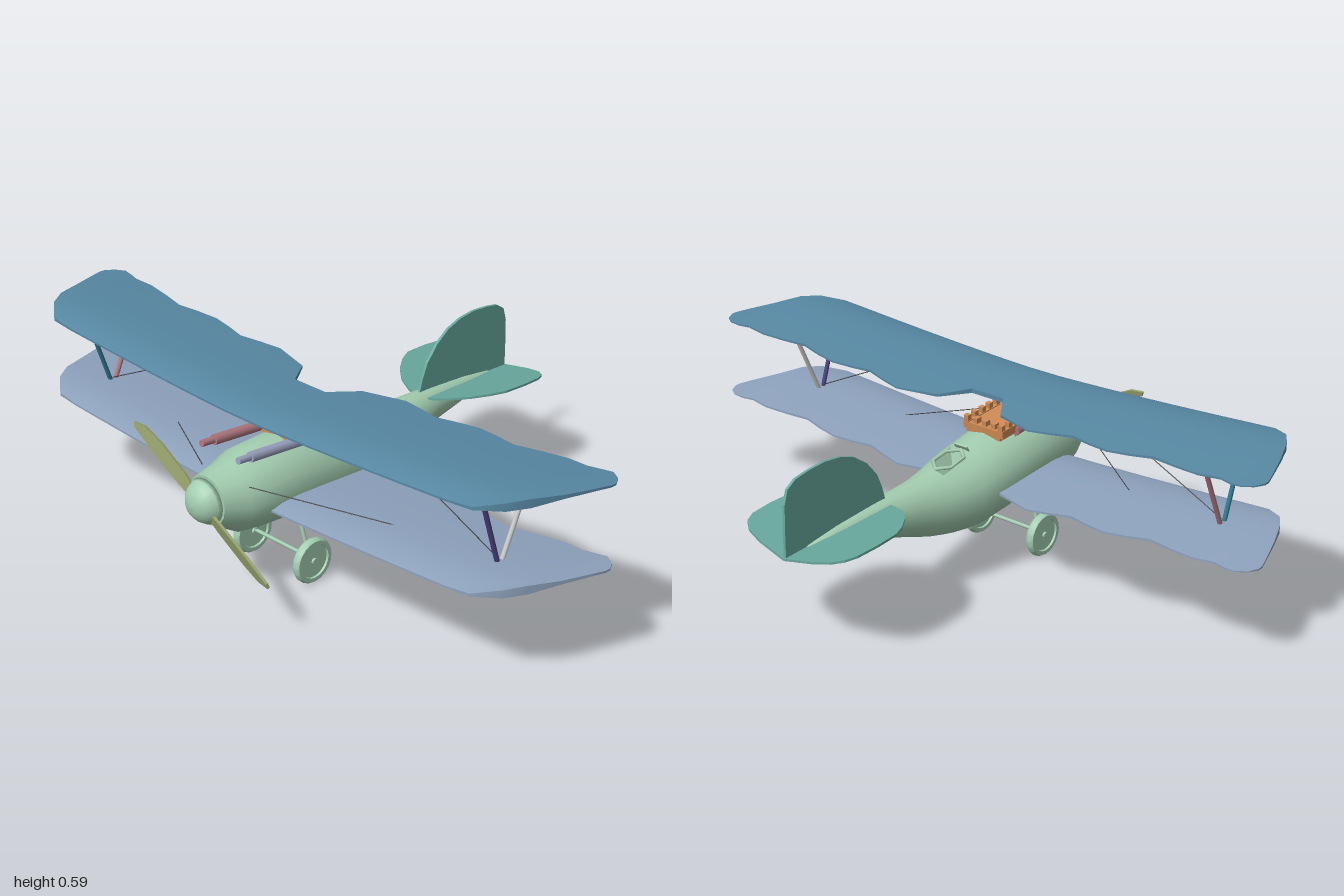
import * as THREE from 'three';
import { toCreasedNormals } from 'three/addons/utils/BufferGeometryUtils.js';

const V = (x, y, z) => new THREE.Vector3(x, y, z);
const paint = (color) => new THREE.MeshStandardMaterial({ color });
const green = paint(0xa3cdb0), teal = paint(0x68a89e), blue = paint(0x5788a3), paleBlue = paint(0x8ea2bd);
const olive = paint(0x95a06c), orange = paint(0xd08a55), dark = paint(0x444444);
const rose = paint(0xb07880), lavender = paint(0x9aa2c0), purple = paint(0x4c4280), petrol = paint(0x2f7890), grey = paint(0xcccccc);

function add(parent, name, geometry, material) {
  const mesh = new THREE.Mesh(geometry, material);
  mesh.name = name;
  parent.add(mesh);
  return mesh;
}

// Skin a row of closed rings and cap both ends
function loft(rings, crease) {
  const n = rings[0].length, pos = [];
  const tri = (...pts) => pts.forEach((p) => pos.push(p.x, p.y, p.z));
  for (let i = 0; i < rings.length - 1; i++) {
    for (let j = 0; j < n; j++) {
      const k = (j + 1) % n, a = rings[i], b = rings[i + 1];
      tri(a[j], a[k], b[j]);
      tri(a[k], b[k], b[j]);
    }
  }
  [rings[0], rings[rings.length - 1]].forEach((ring, end) => {
    const c = ring.reduce((s, p) => s.add(p), V(0, 0, 0)).divideScalar(n);
    for (let j = 0; j < n; j++) {
      const k = (j + 1) % n;
      if (end) tri(c, ring[j], ring[k]); else tri(c, ring[k], ring[j]);
    }
  });
  const g = new THREE.BufferGeometry();
  g.setAttribute('position', new THREE.Float32BufferAttribute(pos, 3));
  return toCreasedNormals(g, crease);
}

function rod(parent, name, a, b, radius, material, sides = 8) {
  const d = b.clone().sub(a);
  const mesh = add(parent, name, new THREE.CylinderGeometry(radius, radius, d.length(), sides), material);
  mesh.position.copy(a).add(b).multiplyScalar(0.5);
  mesh.quaternion.setFromUnitVectors(V(0, 1, 0), d.normalize());
  return mesh;
}

function fuselageGeometry() {
  // z, bottom, top, half width
  const stations = [
    [0.595, 0.25, 0.4, 0.072], [0.52, 0.203, 0.408, 0.1], [0.45, 0.193, 0.428, 0.118], [0.3, 0.18, 0.428, 0.125],
    [0.2, 0.165, 0.418, 0.125], [0.085, 0.15, 0.397, 0.12], [0.05, 0.152, 0.39, 0.114], [0, 0.158, 0.38, 0.104],
    [-0.04, 0.166, 0.37, 0.095], [-0.1, 0.18, 0.362, 0.082], [-0.2, 0.215, 0.358, 0.063], [-0.3, 0.245, 0.355, 0.047],
    [-0.45, 0.27, 0.342, 0.032], [-0.56, 0.288, 0.325, 0.022], [-0.585, 0.298, 0.315, 0.012]];
  const sides = 16;
  const rings = stations.map(([z, lo, hi, w]) => Array.from({ length: sides }, (_, j) => {
    const a = (j / sides) * Math.PI * 2;
    // Cockpit hollow
    if (j === 0 && (z === 0.05 || z === 0)) return V(0, 0.3, z);
    return V(w * Math.sin(a), (lo + hi) / 2 + ((hi - lo) / 2) * Math.cos(a), z);
  }));
  return loft(rings, 0.6);
}

// Scalloped wing: half-span stations of x, trailing z, leading z
function wingGeometry(y0, cutout) {
  const half = [[0.06, cutout ? 0.2 : 0.11, 0.46], [0.12, 0.112, 0.46], [0.18, 0.095, 0.46], [0.25, 0.075, 0.46],
    [0.32, 0.09, 0.46], [0.385, 0.108, 0.46], [0.45, 0.092, 0.46], [0.52, 0.08, 0.46], [0.59, 0.09, 0.46],
    [0.66, 0.107, 0.46], [0.74, 0.09, 0.46], [0.82, 0.078, 0.455], [0.885, 0.085, 0.405], [0.92, 0.075, 0.35],
    [0.955, 0.07, 0.265], [0.985, 0.09, 0.18], [1, 0.118, 0.135]];
  const span = [...half.map(([x, t, l]) => [-x, t, l]).reverse(), ...half];
  // Chord position, upper and lower height
  const foil = [[0.46, 0, -0.006], [0.43, 0.011, -0.011], [0.36, 0.016, -0.01], [0.24, 0.01, -0.007], [0.07, -0.008, -0.013]];
  const height = (z, side) => {
    for (let i = 1; i < foil.length; i++) {
      if (z >= foil[i][0] || i === foil.length - 1) {
        const f = (foil[i - 1][0] - z) / (foil[i - 1][0] - foil[i][0]);
        return THREE.MathUtils.lerp(foil[i - 1][side], foil[i][side], f);
      }
    }
  };
  const chord = [0, 0.25, 0.5, 0.72, 0.9, 1];
  const rings = span.map(([x, t, l]) => {
    const rise = 0.046 * Math.min(1, Math.pow(Math.abs(x) / 0.9, 1.4));
    const thin = Math.abs(x) > 0.95 ? 0.6 : 1;
    const at = (u, side) => {
      const z = t + (l - t) * u;
      return V(x, y0 + rise + height(z, side) * thin, z);
    };
    return [...chord.map((u) => at(u, 1)), ...chord.map((u) => at(1 - u, 2))];
  });
  return loft(rings, 0.7);
}

// Thin plate with a rounded outline
function plate(points, depth) {
  const shape = new THREE.Shape(points.map(([a, b]) => new THREE.Vector2(a, b)));
  return new THREE.ExtrudeGeometry(shape, { depth, bevelEnabled: false }).translate(0, 0, -depth / 2);
}

function wheel(parent, side) {
  const g = new THREE.Group();
  g.name = side > 0 ? 'leftWheel' : 'rightWheel';
  const tyre = [[0.05, -0.007], [0.052, -0.013], [0.064, -0.013], [0.069, -0.005], [0.069, 0.005], [0.064, 0.013], [0.052, 0.013], [0.05, 0.007]];
  const profile = tyre.map(([r, y]) => new THREE.Vector2(r, y));
  add(g, 'tyre', toCreasedNormals(new THREE.LatheGeometry(profile, 20), 0.6), green);
  add(g, 'wheelDisc', new THREE.CylinderGeometry(0.055, 0.055, 0.014, 8), green);
  add(g, 'hub', new THREE.CylinderGeometry(0.01, 0.01, 0.028, 8), green);
  g.rotation.z = Math.PI / 2;
  g.position.set(side * 0.123, 0.07, 0.32);
  parent.add(g);
}

export function createModel() {
  const plane = new THREE.Group();
  plane.name = 'biplane';

  add(plane, 'fuselage', fuselageGeometry(), green);
  const nose = [[0, 0.052], [0.02, 0.05], [0.038, 0.043], [0.053, 0.03], [0.064, 0.013], [0.068, 0], [0, 0]].reverse();
  const spinner = add(plane, 'spinner', new THREE.LatheGeometry(nose.map(([r, y]) => new THREE.Vector2(r, y)), 20), green);
  spinner.rotation.x = Math.PI / 2;
  spinner.position.set(0, 0.325, 0.598);

  // Cockpit rim and windscreen
  const rim = add(plane, 'cockpitRim', new THREE.TorusGeometry(0.04, 0.005, 6, 6).rotateZ(Math.PI / 2).rotateX(Math.PI / 2).scale(1, 1, 1.45), green);
  rim.position.set(0, 0.381, 0.024);
  rim.rotation.x = -0.2;
  const screen = add(plane, 'windscreen', new THREE.BoxGeometry(0.05, 0.022, 0.004), green);
  screen.position.set(0, 0.4, 0.083);
  screen.rotation.x = -0.6;

  add(plane, 'upperWing', wingGeometry(0.527, true), blue);
  add(plane, 'lowerWing', wingGeometry(0.28, false), paleBlue);

  // Tail
  const fin = [[-0.25, 0.345], [-0.265, 0.395], [-0.285, 0.44], [-0.325, 0.487], [-0.375, 0.522], [-0.43, 0.54], [-0.49, 0.546],
    [-0.55, 0.541], [-0.6, 0.532], [-0.63, 0.512], [-0.643, 0.47], [-0.645, 0.4], [-0.645, 0.308], [-0.55, 0.306]];
  add(plane, 'fin', plate(fin, 0.009).rotateY(-Math.PI / 2), teal);
  const stabiliser = [[0, 0.25], [0.05, 0.262], [0.1, 0.285], [0.145, 0.325], [0.18, 0.375], [0.2, 0.42], [0.204, 0.5],
    [0.2, 0.57], [0.185, 0.605], [0.155, 0.628], [0.1, 0.642], [0, 0.65]];
  for (const s of [1, -1]) {
    const g = plate(stabiliser.map(([x, z]) => [s * x, z]), 0.007).rotateX(-Math.PI / 2);
    const p = g.attributes.position;
    for (let i = 0; i < p.count; i++) {
      p.setY(i, p.getY(i) + 0.335 + 0.06 * (p.getZ(i) + 0.26) + 0.2 * Math.abs(p.getX(i)));
    }
    g.computeVertexNormals();
    add(plane, s > 0 ? 'leftStabiliser' : 'rightStabiliser', g, teal);
  }

  // Propeller
  const propeller = new THREE.Group();
  propeller.name = 'propeller';
  const blade = [[0.02, -0.014], [0.09, -0.023], [0.2, -0.024], [0.27, -0.016], [0.305, 0.004], [0.295, 0.014], [0.2, 0.018], [0.08, 0.016], [0.02, 0.01]];
  for (const turn of [0, Math.PI]) {
    const b = add(propeller, 'blade', plate(blade, 0.008).rotateX(0.25), olive);
    b.rotation.z = turn;
  }
  propeller.position.set(0, 0.325, 0.617);
  propeller.rotation.z = -0.55;
  plane.add(propeller);

  // Gun mount: deck, side rails with teeth
  const mount = new THREE.Group();
  mount.name = 'gunMount';
  add(mount, 'deck', new THREE.BoxGeometry(0.13, 0.03, 0.15), orange);
  for (const s of [1, -1]) {
    add(mount, 'rail', new THREE.BoxGeometry(0.02, 0.024, 0.15), orange).position.set(s * 0.065, 0.006, 0);
    for (let i = 0; i < 5; i++) {
      add(mount, 'tooth', new THREE.BoxGeometry(0.016, 0.02, 0.016), orange).position.set(s * 0.065, 0.025, -0.067 + i * 0.0335);
    }
  }
  for (let i = 0; i < 3; i++) {
    add(mount, 'endTooth', new THREE.BoxGeometry(0.016, 0.018, 0.02), orange).position.set(-0.034 + i * 0.034, 0.022, -0.06);
  }
  mount.position.set(0, 0.425, 0.255);
  mount.rotation.x = -0.08;
  plane.add(mount);

  for (const s of [1, -1]) {
    const metal = s > 0 ? lavender : rose;
    const x = s * 0.073;
    rod(plane, 'gunJacket', V(x, 0.43, 0.33), V(x, 0.448, 0.5), 0.015, metal, 10);
    rod(plane, 'gunMuzzle', V(x, 0.448, 0.49), V(x, 0.453, 0.543), 0.01, metal, 10);
    rod(plane, 'gunBreech', V(x, 0.42, 0.24), V(x, 0.432, 0.35), 0.017, metal, 4);

    // Interplane struts
    const sx = s * 0.775;
    rod(plane, 'frontStrut', V(sx, 0.318, 0.293), V(sx, 0.562, 0.372), 0.007, s > 0 ? purple : petrol);
    rod(plane, 'rearStrut', V(sx, 0.318, 0.28), V(sx, 0.56, 0.165), 0.007, s > 0 ? grey : rose);

    // Bracing wires
    rod(plane, 'upperWire', V(s * 0.37, 0.525, 0.29), V(s * 0.77, 0.335, 0.29), 0.0015, dark, 5);
    rod(plane, 'lowerWire', V(s * 0.095, 0.375, 0.525), V(s * 0.46, 0.305, 0.305), 0.0015, dark, 5);

    // Landing gear
    wheel(plane, s);
    rod(plane, 'gearLeg', V(s * 0.11, 0.075, 0.32), V(s * 0.068, 0.21, 0.32), 0.006, green);
  }
  rod(plane, 'axle', V(-0.12, 0.075, 0.32), V(0.12, 0.075, 0.32), 0.006, green);

  return plane;
}
